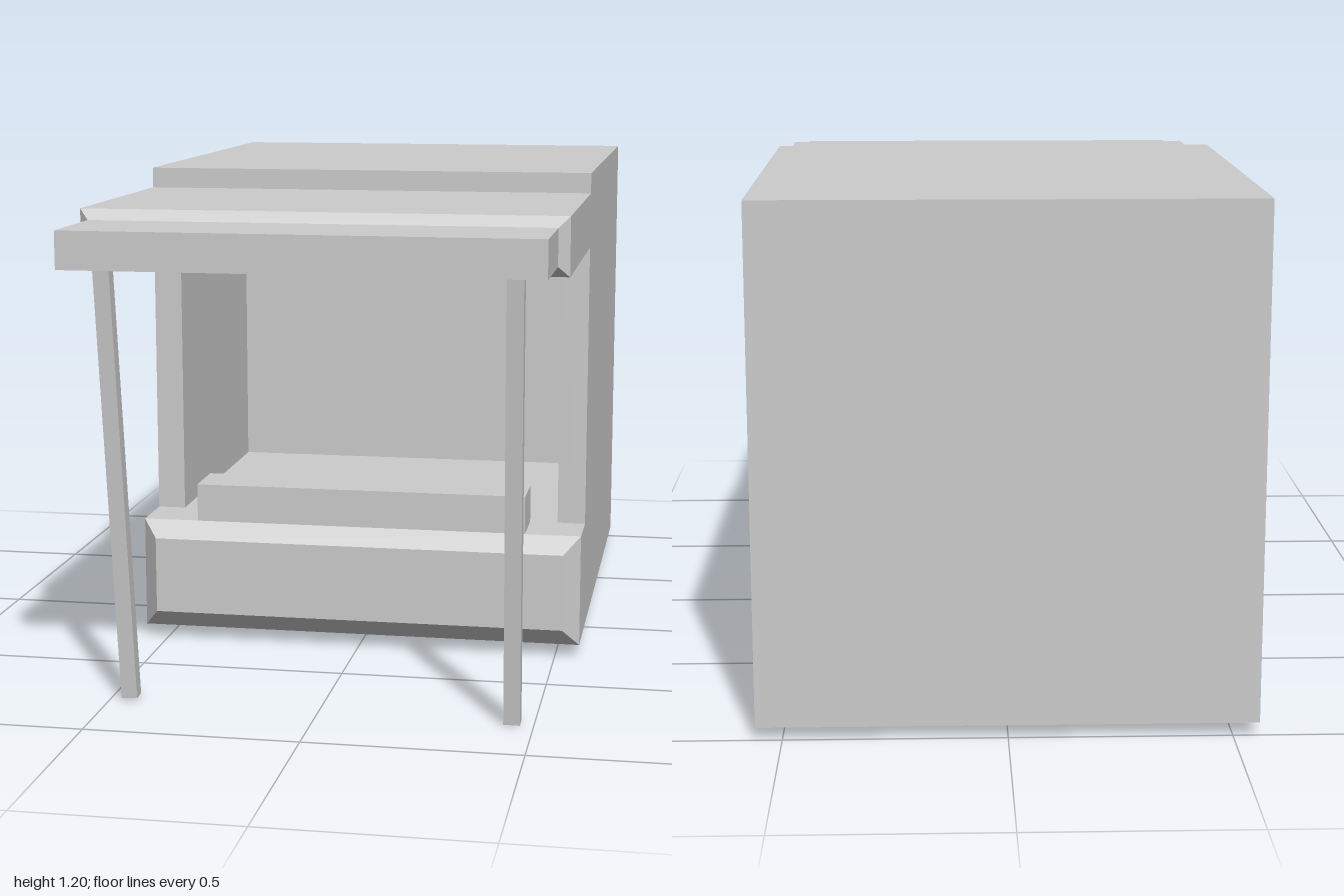
import * as THREE from 'three';

// Joins rectangular sections [z, halfWidth, bottomY, topY] in order and caps both ends.
function loft(sections) {
  const pos = [];
  const rings = sections.map(([z, w, y0, y1]) => [[-w, y0, z], [w, y0, z], [w, y1, z], [-w, y1, z]]);
  const quad = (a, b, c, d) => pos.push(...a, ...b, ...c, ...a, ...c, ...d);
  for (let i = 0; i < rings.length - 1; i++) {
    const p = rings[i], q = rings[i + 1];
    for (let k = 0; k < 4; k++) {
      const n = (k + 1) % 4;
      quad(p[k], p[n], q[n], q[k]);
    }
  }
  const [a, b, c, d] = rings[0];
  quad(d, c, b, a);
  quad(...rings[rings.length - 1]);
  const g = new THREE.BufferGeometry();
  g.setAttribute('position', new THREE.Float32BufferAttribute(pos, 3));
  g.computeVertexNormals();
  return g;
}

export function createModel() {
  const group = new THREE.Group();
  const grey = new THREE.MeshStandardMaterial({ color: 0xcccccc });
  grey.name = 'plainGrey';

  const add = (name, geometry) => {
    const mesh = new THREE.Mesh(geometry, grey);
    mesh.name = name;
    group.add(mesh);
    return mesh;
  };

  // Main block with a room recessed into its front
  add('stallBody', loft([
    [-1, 0.56, 0.03, 1.2],
    [0.125, 0.56, 0.03, 1.2],
    [0.125, 0.49, 0.31, 1.02],
    [-0.6, 0.49, 0.31, 1.02],
  ]));

  // Counter with a bevelled front
  add('counter', loft([
    [0.125, 0.56, 0.03, 0.31],
    [0.26, 0.56, 0.03, 0.31],
    [0.305, 0.52, 0.078, 0.27],
  ]));

  // Raised ledge on the counter
  add('counterLedge', loft([
    [0.125, 0.42, 0.31, 0.405],
    [0.26, 0.42, 0.31, 0.405],
  ]));

  // Canopy stepping down to a thinner front section
  add('canopy', loft([
    [0.125, 0.56, 1.015, 1.15],
    [0.735, 0.56, 1.015, 1.15],
    [0.76, 0.535, 1.04, 1.126],
    [1, 0.535, 1.04, 1.126],
  ]));

  // Leaning square poles under the canopy
  const up = new THREE.Vector3(0, 1, 0);
  const addPole = (name, bottom, top) => {
    const from = new THREE.Vector3(...bottom), to = new THREE.Vector3(...top);
    const pole = add(name, new THREE.BoxGeometry(0.038, from.distanceTo(to), 0.033));
    pole.position.copy(from).add(to).multiplyScalar(0.5);
    pole.quaternion.setFromUnitVectors(up, to.sub(from).normalize());
  };
  addPole('leftPole', [0.45, 0.003, 0.793], [0.46, 1.05, 0.919]);
  addPole('rightPole', [-0.453, 0.008, 0.77], [-0.476, 1.05, 0.849]);

  return group;
}
